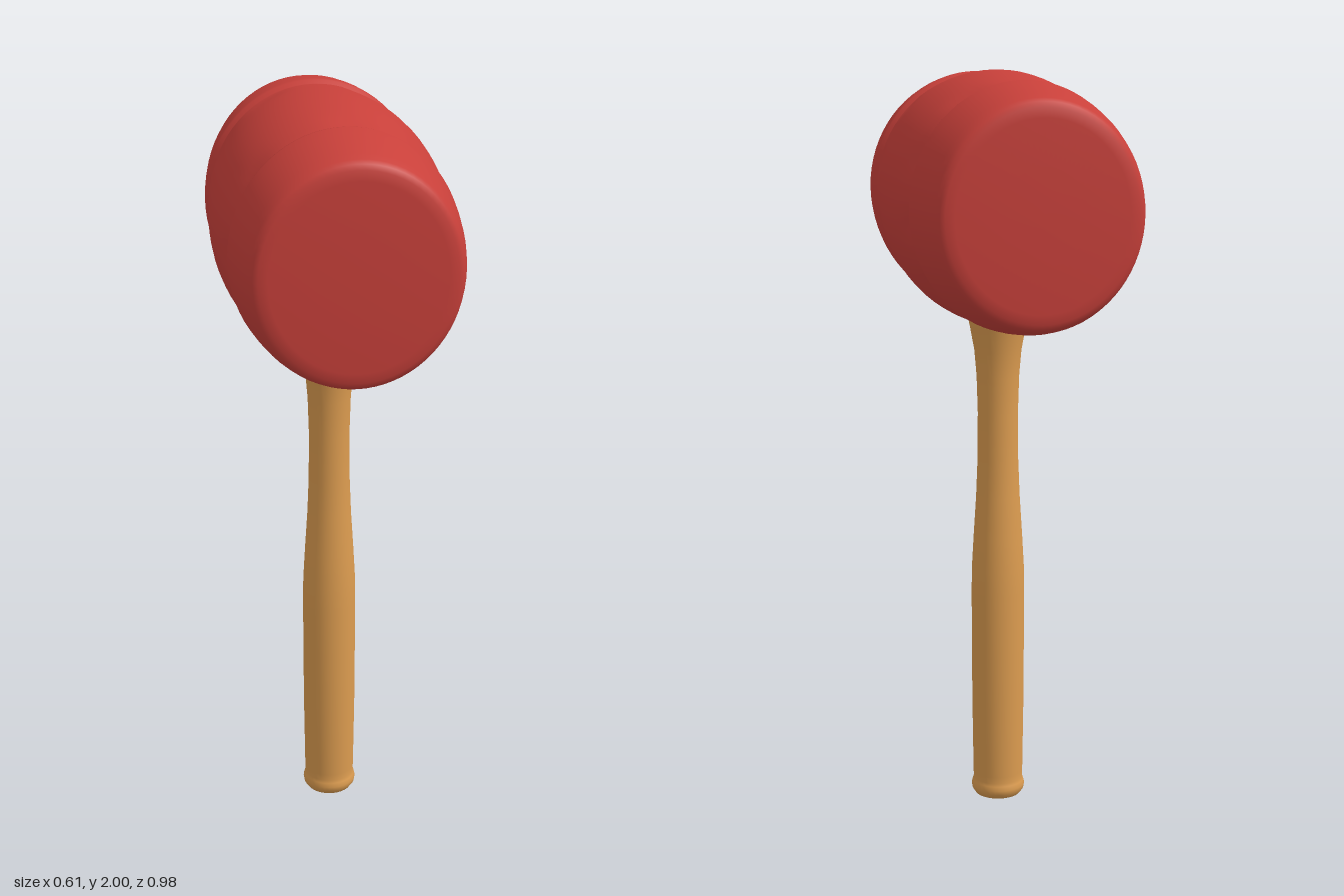
import * as THREE from 'three';
import { mergeVertices } from 'three/addons/utils/BufferGeometryUtils.js';

// Profile points are [radius, height], listed from bottom to top
const lathe = (points, segments) =>
  new THREE.LatheGeometry(points.map(([r, y]) => new THREE.Vector2(r, y)), segments);

function smooth(geometry) {
  geometry.deleteAttribute('uv');
  geometry.deleteAttribute('normal');
  const merged = mergeVertices(geometry, 1e-5);
  merged.computeVertexNormals();
  return merged;
}

// Barrel head: one half profile, mirrored, with a groove behind each end band
function headGeometry() {
  const half = [
    [0.328, 0], [0.326, 0.06], [0.322, 0.11], [0.318, 0.15], [0.314, 0.18],
    [0.31, 0.21], [0.307, 0.235], [0.303, 0.25], [0.303, 0.257], [0.312, 0.264],
    [0.314, 0.275], [0.309, 0.32], [0.3, 0.38], [0.289, 0.43], [0.281, 0.455],
    [0.273, 0.468], [0.26, 0.475], [0.235, 0.478], [0.12, 0.481], [0, 0.482],
  ];
  const back = half.slice(1).reverse().map(([r, z]) => [r, -z]);
  const geometry = lathe([...back, ...half], 72);

  // Soft gathered wrinkles between the grooves
  const p = geometry.attributes.position;
  for (let i = 0; i < p.count; i++) {
    const x = p.getX(i), y = p.getY(i), z = p.getZ(i);
    const d = Math.abs(y);
    if (d > 0.245 || d < 0.13) continue;
    const a = Math.atan2(z, x) + (y > 0 ? 0.4 : 0);
    const wave = Math.max(0, Math.sin(a * 9 + 1.5 * Math.sin(a * 2)));
    const k = 1 - 0.018 * wave * (d - 0.13) / 0.115;
    p.setXYZ(i, x * k, y, z * k);
  }
  geometry.rotateX(Math.PI / 2);
  geometry.scale(0.92, 1, 1);
  return smooth(geometry);
}

// Turned handle: rounded butt, swelling grip, slim neck and flared top
function handleGeometry() {
  return smooth(lathe([
    [0, 0.004], [0.04, 0.008], [0.062, 0.017], [0.071, 0.03], [0.073, 0.042],
    [0.07, 0.054], [0.067, 0.062], [0.068, 0.08], [0.071, 0.3], [0.072, 0.6],
    [0.071, 0.67], [0.066, 0.76], [0.059, 0.87], [0.055, 0.97], [0.054, 1.1],
    [0.057, 1.2], [0.063, 1.27], [0.074, 1.33], [0.082, 1.37], [0.084, 1.42], [0, 1.42],
  ], 32));
}

export function createModel() {
  const red = new THREE.MeshStandardMaterial({ name: 'red', color: 0xc8403a });
  const wood = new THREE.MeshStandardMaterial({ name: 'wood', color: 0xdc9c50 });

  const group = new THREE.Group();
  group.name = 'mallet';

  const head = new THREE.Mesh(headGeometry(), red);
  head.name = 'head';
  head.position.y = 1.672;
  head.rotation.y = -0.063;

  const handle = new THREE.Mesh(handleGeometry(), wood);
  handle.name = 'handle';
  handle.position.z = 0.01;

  group.add(head, handle);
  return group;
}
